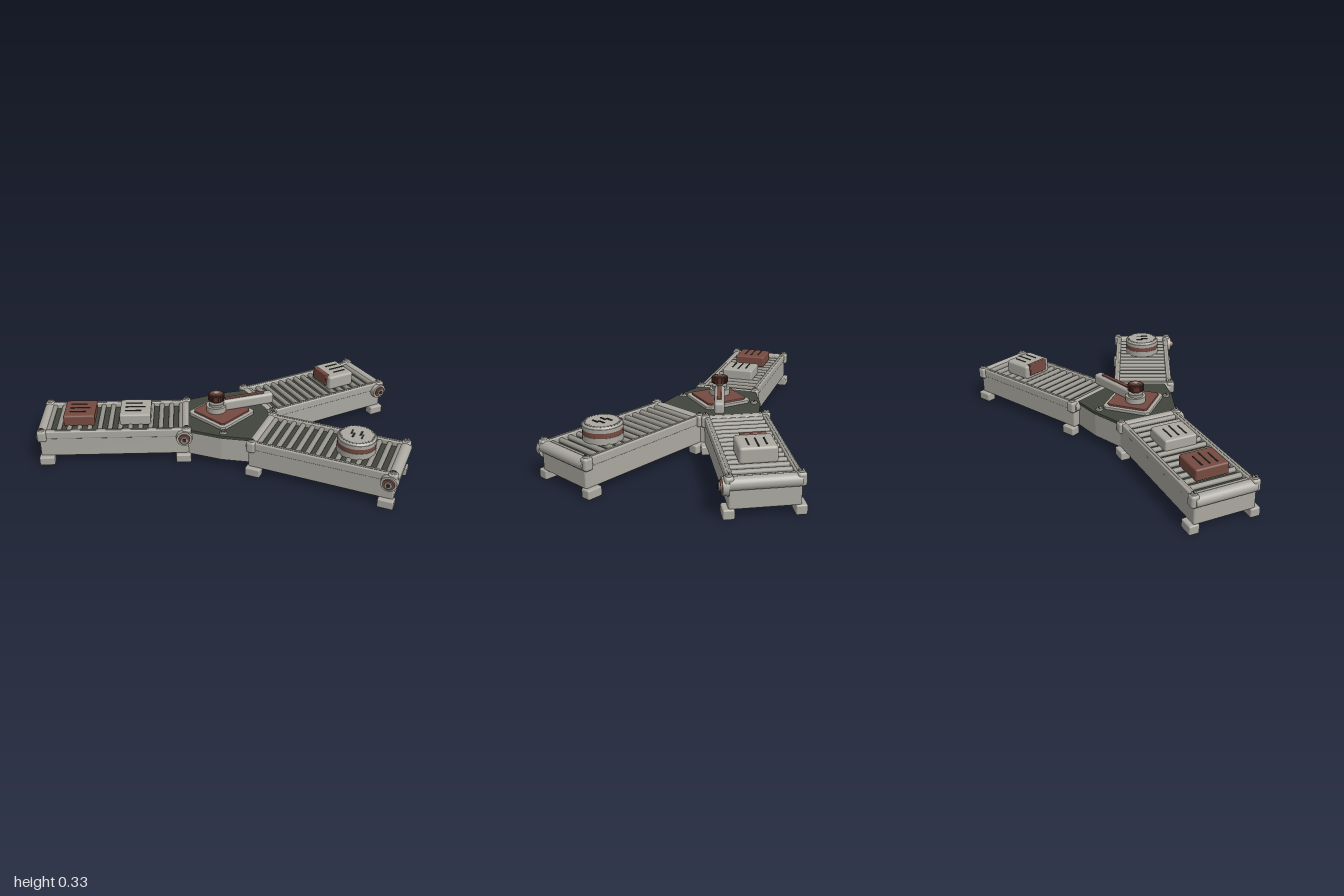
import * as THREE from 'three';
import { RoundedBoxGeometry } from 'three/addons/geometries/RoundedBoxGeometry.js';

const mat = (name, color) => {
  const m = new THREE.MeshStandardMaterial({ color });
  m.name = name;
  return m;
};

export function createModel() {
  const shell = mat('pale grey shell', 0xaaa8a0);
  const trim = mat('mid grey trim', 0x96948c);
  const dark = mat('dark deck', 0x41443c);
  const rust = mat('rust red', 0x764a40);
  const deepRust = mat('deep rust', 0x54312a);
  const ink = mat('dark line', 0x2b2b28);

  const add = (parent, name, geo, m, x, y, z) => {
    const mesh = new THREE.Mesh(geo, m);
    mesh.name = name;
    mesh.position.set(x, y, z);
    parent.add(mesh);
    return mesh;
  };
  // Rounded box given by its bottom and top heights
  const box = (p, name, m, x, y0, y1, z, w, d, r = 0.008) =>
    add(p, name, new RoundedBoxGeometry(w, y1 - y0, d, 2, r), m, x, (y0 + y1) / 2, z);
  const plate = (p, name, m, x, y, z, w, d) =>
    add(p, name, new THREE.BoxGeometry(w, 0.006, d), m, x, y, z);
  // Upright disc given by its bottom and top heights
  const disc = (p, name, m, x, y0, y1, z, r, rTop = r, n = 32) =>
    add(p, name, new THREE.CylinderGeometry(rTop, r, y1 - y0, n), m, x, (y0 + y1) / 2, z);
  // Flat outline in (x, z), extruded upward
  const slab = (p, name, m, pts, y0, y1, bevel = 0) => {
    const shape = new THREE.Shape(pts.map(([x, z]) => new THREE.Vector2(x, -z)));
    const geo = new THREE.ExtrudeGeometry(shape, {
      depth: y1 - y0 - 2 * bevel, bevelEnabled: bevel > 0, bevelSize: bevel,
      bevelThickness: bevel, bevelOffset: -bevel, bevelSegments: 2,
    });
    geo.rotateX(-Math.PI / 2);
    return add(p, name, geo, m, 0, y0 + bevel, 0);
  };
  const screw = (p, x, y, z, r) => {
    disc(p, 'screw', trim, x, y, y + 0.01, z, r, r * 0.8, 16);
    plate(p, 'screwSlot', ink, x, y + 0.009, z, r * 1.1, r * 0.3);
  };
  const lines = (p, x, y, z, lengths, gap) => lengths.forEach((len, i) =>
    plate(p, 'markLine', ink, x + (len - lengths[0]) / 2, y, z + (i - (lengths.length - 1) / 2) * gap, len, 0.007));

  const model = new THREE.Group();
  model.name = 'conveyorJunction';

  // One conveyor arm; hl is the half distance between its corner posts
  const conveyor = (name, x, z, angle, hl) => {
    const g = new THREE.Group();
    g.name = name;
    g.position.set(x, 0, z);
    g.rotation.y = angle;
    model.add(g);
    const hw = 0.163;
    box(g, 'armBody', shell, 0, 0.045, 0.165, 0, 2 * hl + 0.03, 2 * hw + 0.008, 0.01);
    plate(g, 'beltBed', dark, 0, 0.168, 0, 2 * hl - 0.03, 0.29);
    // Roller row
    const n = Math.round((2 * hl - 0.06) / 0.054);
    const step = (2 * hl - 0.06) / n;
    for (let i = 0; i <= n; i++) {
      const r = add(g, 'roller', new THREE.CylinderGeometry(0.014, 0.014, 0.28, 12), trim,
        -hl + 0.03 + i * step, 0.18, 0);
      r.rotation.x = Math.PI / 2;
    }
    for (const s of [-1, 1]) {
      box(g, 'sideRail', shell, 0, 0.153, 0.2, s * 0.155, 2 * hl, 0.03, 0.008);
      plate(g, 'railCap', trim, 0, 0.199, s * 0.155, 2 * hl - 0.06, 0.012);
      const end = add(g, 'endRoller', new THREE.CylinderGeometry(0.032, 0.032, 2 * hw, 24), shell, s * hl, 0.168, 0);
      end.rotation.x = Math.PI / 2;
      for (const t of [-1, 1]) {
        box(g, 'cornerPost', shell, s * hl, 0.14, 0.207, t * hw, 0.05, 0.045, 0.014);
        screw(g, s * hl, 0.205, t * hw, 0.017);
        box(g, 'foot', shell, s * (hl - 0.018), 0, 0.05, t * 0.165, 0.083, 0.055, 0.008);
      }
    }
    // Drive hub on the side of the far end
    [[0.046, 0.03, shell], [0.033, 0.038, rust], [0.021, 0.044, trim], [0.011, 0.048, ink]].forEach(([r, len, m]) => {
      const c = add(g, 'driveHub', new THREE.CylinderGeometry(r * 0.92, r, len, 24), m, hl - 0.012, 0.152, hw + len / 2);
      c.rotation.x = Math.PI / 2;
    });
    return g;
  };

  const axisZ = -0.01;
  const tilt = 0.445;
  const inArm = conveyor('entryConveyor', -0.588, axisZ, 0, 0.39);
  const backArm = conveyor('backConveyor', 0.552, axisZ - 0.325, tilt, 0.375);
  const frontArm = conveyor('frontConveyor', 0.552, axisZ + 0.325, -tilt, 0.375);

  // Parcels on the entry arm
  [[-0.195, rust, 'rustParcel'], [0.11, shell, 'greyParcel']].forEach(([x, m, name]) => {
    box(inArm, name, m, x, 0.185, 0.25, 0, 0.17, 0.182, 0.01);
    lines(inArm, x - 0.01, 0.25, 0, [0.09, 0.11, 0.09], 0.042);
  });

  // Strapped crate on the back arm
  const crateX = 0.148;
  box(backArm, 'crate', shell, crateX, 0.185, 0.27, 0, 0.17, 0.185, 0.015);
  box(backArm, 'crateStrap', rust, crateX - 0.08, 0.205, 0.275, -0.002, 0.026, 0.13, 0.005);
  lines(backArm, crateX + 0.015, 0.27, 0, [0.08, 0.1, 0.08], 0.042);

  // Round canister on the front arm
  const canX = 0.144, canZ = -0.003;
  disc(frontArm, 'canisterBase', shell, canX, 0.188, 0.222, canZ, 0.103);
  disc(frontArm, 'canisterBand', rust, canX, 0.222, 0.248, canZ, 0.101);
  disc(frontArm, 'canisterLid', shell, canX, 0.248, 0.268, canZ, 0.103);
  disc(frontArm, 'canisterTop', shell, canX, 0.268, 0.279, canZ, 0.1, 0.09);
  for (const s of [-1, 1]) for (const e of [-0.5, 0.5])
    plate(frontArm, 'canisterSlot', ink, canX + s * 0.024 + e * 0.014, 0.279, canZ + e * 0.03, 0.009, 0.04);
  for (let i = 0; i < 32; i++) {
    const a = (i / 32) * Math.PI * 2;
    const t = plate(frontArm, 'lidTick', trim, canX + Math.cos(a) * 0.087, 0.278, canZ + Math.sin(a) * 0.087, 0.01, 0.004);
    t.rotation.y = -a;
  }

  // Central hub
  const hub = new THREE.Group();
  hub.name = 'hub';
  hub.position.z = axisZ;
  model.add(hub);
  const half = [[-0.2, 0.165], [-0.01, 0.242], [0.15, 0.275], [0.29, 0.03]];
  const outline = [...half, ...half.map(([x, z]) => [x, -z]).reverse()];
  slab(hub, 'hubBody', shell, outline.map(([x, z]) => [x * 0.98, z * 0.98]), 0.045, 0.178);
  slab(hub, 'hubDeck', dark, outline, 0.178, 0.197, 0.004);
  for (const s of [-1, 1]) screw(hub, 0, 0.196, s * 0.207, 0.021);

  // Diamond with cut corners
  const diamond = (cx, r, c) => [
    [cx + r, c], [cx + c, r], [cx - c, r], [cx - r, c],
    [cx - r, -c], [cx - c, -r], [cx + c, -r], [cx + r, -c],
  ];
  slab(hub, 'diamondFrame', shell, diamond(0, 0.178, 0.014), 0.195, 0.213, 0.004);
  slab(hub, 'diamondInlay', rust, diamond(0, 0.152, 0.01), 0.21, 0.223, 0.003);
  slab(hub, 'bottomPad', shell, diamond(0.02, 0.112, 0.012), 0, 0.05, 0.006);

  // Diverter lever and its knob
  const lever = new THREE.Group();
  lever.name = 'diverter';
  lever.position.x = -0.03;
  lever.rotation.y = 0.285;
  hub.add(lever);
  disc(lever, 'pivotBase', shell, 0, 0.22, 0.255, 0, 0.056);
  disc(lever, 'pivotCollar', trim, 0, 0.255, 0.272, 0, 0.042);
  disc(lever, 'pivotStem', trim, 0, 0.27, 0.292, 0, 0.02);
  box(lever, 'leverArm', shell, 0.183, 0.217, 0.283, 0, 0.3, 0.055, 0.016);
  box(lever, 'leverStripe', rust, 0.165, 0.28, 0.289, 0, 0.23, 0.022, 0.003);
  disc(lever, 'knob', deepRust, 0, 0.286, 0.324, 0, 0.04);
  for (let i = 0; i < 16; i++) {
    const a = (i / 16) * Math.PI * 2;
    const k = add(lever, 'knobRidge', new THREE.BoxGeometry(0.01, 0.03, 0.008), deepRust,
      Math.cos(a) * 0.041, 0.305, Math.sin(a) * 0.041);
    k.rotation.y = -a;
  }
  disc(lever, 'knobRing', rust, 0, 0.322, 0.327, 0, 0.03);
  disc(lever, 'knobCap', trim, 0, 0.325, 0.33, 0, 0.015);

  return model;
}
